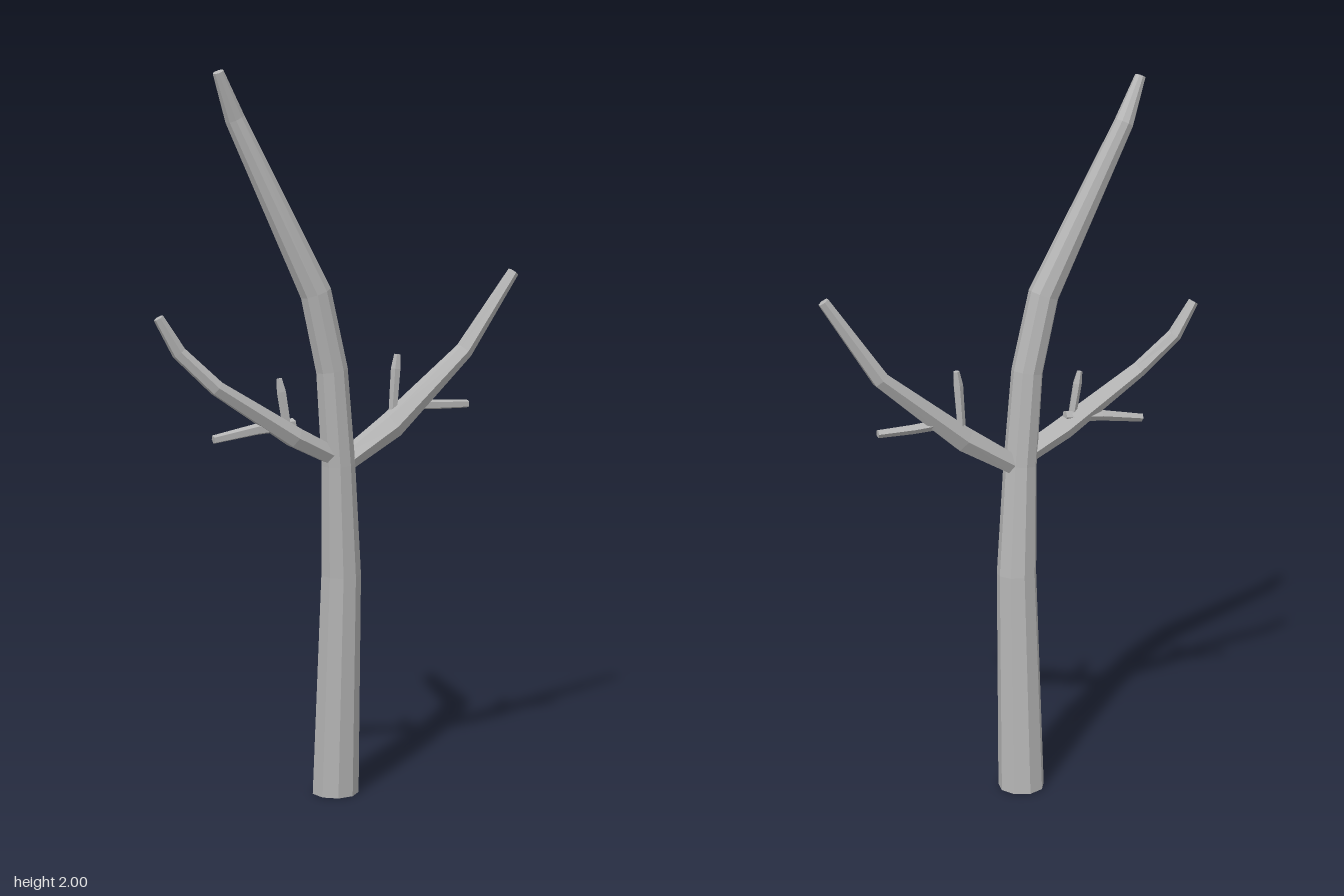
import * as THREE from 'three';

// Faceted limb lofted through rings [x, y, z, radius]; rings lie across the path.
function limb(rings, sides, { openBase = false, levelBase = false } = {}) {
  const centres = rings.map(([x, y, z]) => new THREE.Vector3(x, y, z));
  const pos = [];
  const index = [];
  rings.forEach(([, , , r], i) => {
    const a = centres[Math.max(i - 1, 0)];
    const b = centres[i];
    const c = centres[Math.min(i + 1, rings.length - 1)];
    const t = new THREE.Vector3();
    if (b !== a) t.add(b.clone().sub(a).normalize());
    if (c !== b) t.add(c.clone().sub(b).normalize());
    t.normalize();
    if (i === 0 && levelBase) t.set(0, 1, 0);
    const u = new THREE.Vector3(0, 0, -1);
    u.addScaledVector(t, -u.dot(t)).normalize();
    const v = new THREE.Vector3().crossVectors(t, u);
    for (let k = 0; k < sides; k++) {
      const ang = (k / sides) * Math.PI * 2;
      const p = b.clone().addScaledVector(u, r * Math.cos(ang)).addScaledVector(v, r * Math.sin(ang));
      pos.push(p.x, p.y, p.z);
    }
  });
  for (let i = 0; i < rings.length - 1; i++) {
    for (let k = 0; k < sides; k++) {
      const n = (k + 1) % sides;
      const a = i * sides + k, b = i * sides + n;
      index.push(a, b, b + sides, a, b + sides, a + sides);
    }
  }
  // End caps
  const top = (rings.length - 1) * sides;
  for (let k = 1; k < sides - 1; k++) {
    index.push(top, top + k, top + k + 1);
    if (!openBase) index.push(0, k + 1, k);
  }
  const geo = new THREE.BufferGeometry();
  geo.setAttribute('position', new THREE.Float32BufferAttribute(pos, 3));
  geo.setIndex(index);
  const flat = geo.toNonIndexed();
  flat.computeVertexNormals();
  return flat;
}

export function createModel() {
  const group = new THREE.Group();
  const bark = new THREE.MeshStandardMaterial({ color: 0xb4b4b4, flatShading: true, side: THREE.DoubleSide });
  bark.name = 'grey bark';

  const add = (name, rings, sides, options) => {
    const mesh = new THREE.Mesh(limb(rings, sides, options), bark);
    mesh.name = name;
    group.add(mesh);
  };

  // Trunk, leaning forward then bending to its right; hollow at the foot
  add('trunk', [
    [0, 0, -0.025, 0.066],
    [0, 0.63, 0.008, 0.056],
    [-0.02, 0.94, 0.03, 0.047],
    [-0.045, 1.2, 0.04, 0.044],
    [-0.095, 1.41, 0.043, 0.043],
    [-0.315, 1.87, 0.01, 0.027],
    [-0.37, 1.99, 0.027, 0.015],
  ], 9, { openBase: true, levelBase: true });

  // Main side branches
  add('leftBranch', [
    [0.0, 0.943, 0.025, 0.03],
    [0.15, 1.035, 0.024, 0.038],
    [0.392, 1.23, 0.008, 0.025],
    [0.537, 1.448, 0.033, 0.016],
  ], 6);
  add('rightBranch', [
    [-0.01, 0.95, 0.035, 0.027],
    [-0.16, 1.025, 0.045, 0.031],
    [-0.39, 1.17, 0.047, 0.022],
    [-0.485, 1.265, 0.02, 0.02],
    [-0.54, 1.358, 0.015, 0.014],
  ], 6);

  // Twigs
  add('leftUprightTwig', [
    [0.16, 1.05, 0.012, 0.012],
    [0.17, 1.19, 0.012, 0.014],
    [0.176, 1.23, 0.01, 0.009],
  ], 5);
  add('leftOutwardTwig', [
    [0.2, 1.09, 0.012, 0.016],
    [0.3, 1.083, 0.012, 0.014],
    [0.4, 1.08, 0.015, 0.012],
  ], 5);
  add('rightUprightTwig', [
    [-0.18, 1.04, 0.045, 0.012],
    [-0.197, 1.15, 0.042, 0.013],
    [-0.203, 1.185, 0.04, 0.008],
  ], 5);
  add('rightOutwardTwig', [
    [-0.16, 1.06, 0.042, 0.017],
    [-0.27, 1.052, 0.04, 0.016],
    [-0.395, 1.032, 0.035, 0.012],
  ], 5);

  return group;
}
